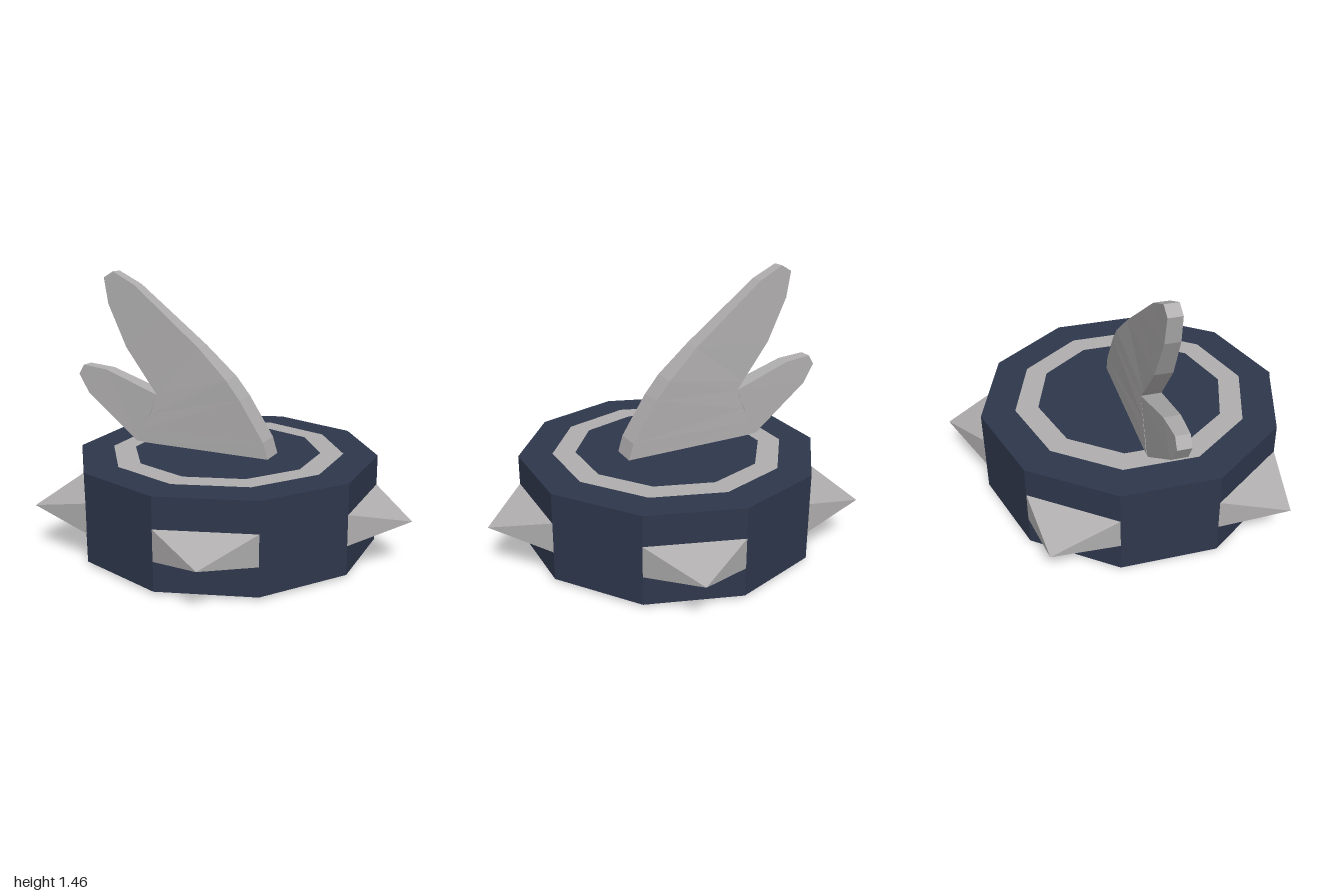
import * as THREE from 'three';

const CX = -0.056; // axis of the ten-sided drum
const R = 0.825;

// Rectangular loft; each station is [x1, y1, half1, x2, y2, half2] for its two edges
function loft(stations) {
  const pos = [], idx = [];
  for (const [x1, y1, h1, x2, y2, h2] of stations) {
    pos.push(x1, y1, h1, x1, y1, -h1, x2, y2, -h2, x2, y2, h2);
  }
  const last = (stations.length - 1) * 4;
  for (let i = 0; i < last; i += 4) {
    for (let j = 0; j < 4; j++) {
      const k = (j + 1) % 4;
      idx.push(i + j, i + k, i + 4 + k, i + j, i + 4 + k, i + 4 + j);
    }
  }
  idx.push(0, 2, 1, 0, 3, 2, last, last + 1, last + 2, last, last + 2, last + 3);
  const g = new THREE.BufferGeometry();
  g.setAttribute('position', new THREE.Float32BufferAttribute(pos, 3));
  g.setIndex(idx);
  g.computeVertexNormals();
  return g;
}

export function createModel() {
  const group = new THREE.Group();
  const material = (name, color) => {
    const m = new THREE.MeshStandardMaterial({ color, flatShading: true });
    m.name = name;
    return m;
  };
  const navy = material('navy', 0x2e374c);
  const grey = material('grey', 0xb0aeae);
  const black = material('black', 0x030303);
  const add = (name, geometry, mat, parent = group) => {
    const mesh = new THREE.Mesh(geometry, mat);
    mesh.name = name;
    parent.add(mesh);
    return mesh;
  };

  // Drum with a black underside
  add('drum', new THREE.CylinderGeometry(R, R, 0.485, 10), [navy, navy, black])
    .position.set(CX, 0.2575, 0);

  // Painted ring on the lid
  const ring = new THREE.RingGeometry(0.515, 0.64, 10, 1, Math.PI / 2).rotateX(-Math.PI / 2);
  add('lidRing', ring, grey).position.set(CX, 0.503, 0);

  // Pyramid spikes on every second side
  const inner = R * Math.cos(Math.PI / 10);
  const length = 1.046 - inner;
  const spike = new THREE.ConeGeometry(Math.SQRT1_2, 1, 4, 1, true)
    .rotateY(Math.PI / 4)
    .scale(0.165, length, 2 * R * Math.sin(Math.PI / 10))
    .rotateZ(-Math.PI / 2)
    .translate(inner + length / 2, 0, 0);
  const spikes = new THREE.Group();
  spikes.name = 'spikes';
  spikes.position.set(CX, 0.2525, 0);
  group.add(spikes);
  for (let i = 0; i < 5; i++) {
    add('spike', spike, grey, spikes).rotation.y = i * Math.PI * 2 / 5;
  }

  // Forked fin: a stem and upper lobe, then the lower lobe
  const fin = new THREE.Group();
  fin.name = 'fin';
  group.add(fin);
  add('upperLobe', loft([
    [0.06, 0, 0.07, -0.01, 0, 0.07],
    [0.22, 0.49, 0.07, -0.585, 0.49, 0.055],
    [0.19, 0.59, 0.07, -0.55, 0.58, 0.055],
    [0.05, 0.81, 0.07, -0.51, 0.67, 0.054],
    [-0.03, 0.91, 0.068, -0.465, 0.785, 0.053],
    [-0.2, 1.07, 0.053, -0.5, 0.83, 0.051],
    [-0.4, 1.23, 0.046, -0.66, 1.04, 0.046],
    [-0.6, 1.39, 0.039, -0.775, 1.28, 0.039],
    [-0.74, 1.46, 0.036, -0.8, 1.425, 0.036],
  ]), grey, fin);
  add('lowerLobe', loft([
    [-0.465, 0.785, 0.053, -0.585, 0.49, 0.053],
    [-0.8, 0.9, 0.042, -0.93, 0.755, 0.042],
    [-0.96, 0.915, 0.036, -0.995, 0.86, 0.036],
  ]), grey, fin);

  return group;
}
